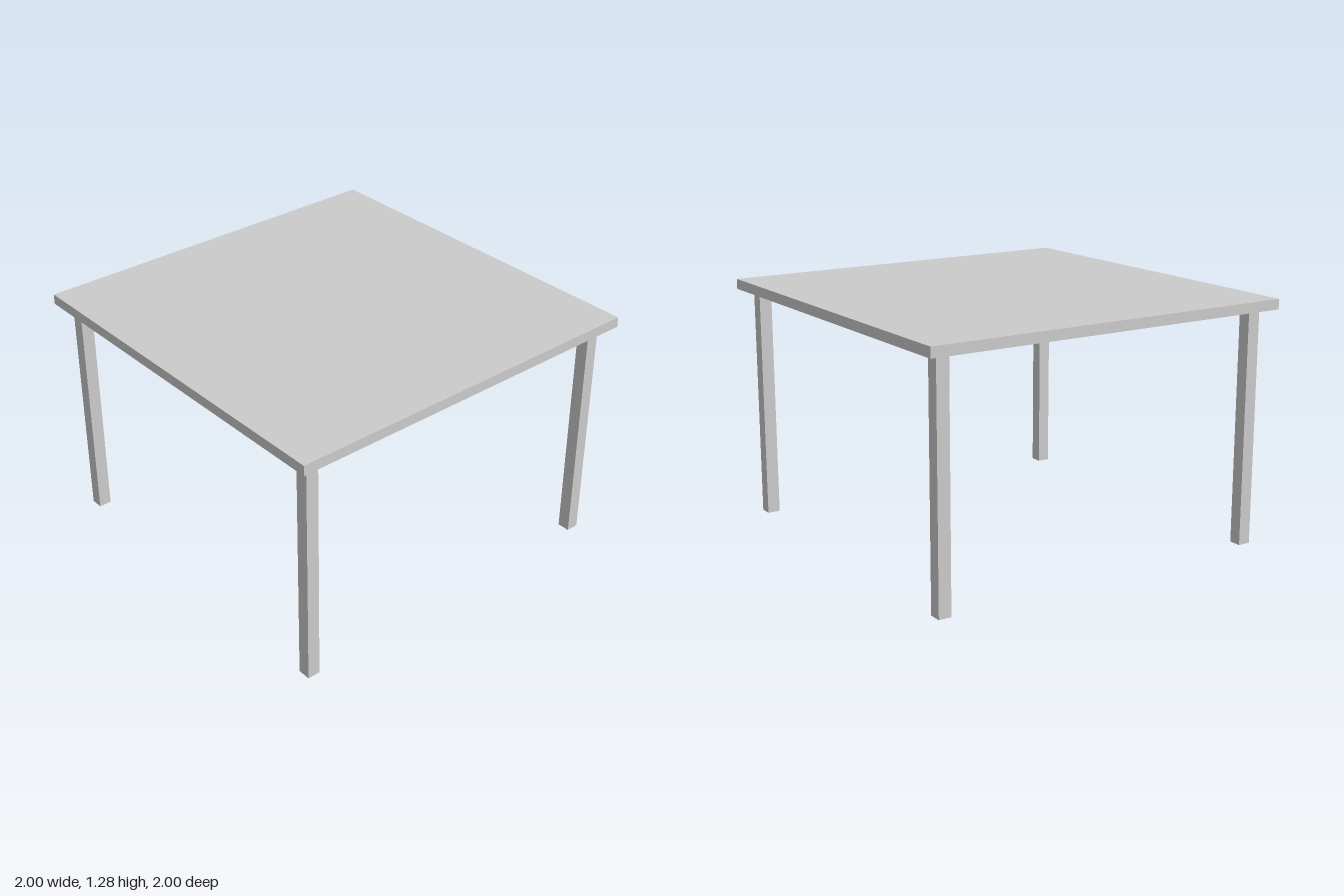
import * as THREE from 'three';

const LEG_HEIGHT = 1.227;
const LEG_WIDTH = 0.067;
const LEG_OFFSET = 0.9;
const TOP_THICKNESS = 0.053;

export function createModel() {
  const table = new THREE.Group();
  table.name = 'table';
  const material = new THREE.MeshStandardMaterial({ color: 0xcccccc });

  // Square slab
  const top = new THREE.Mesh(new THREE.BoxGeometry(2, TOP_THICKNESS, 2), material);
  top.name = 'tableTop';
  top.position.y = LEG_HEIGHT + TOP_THICKNESS / 2;
  table.add(top);

  // Four square legs, set in from the corners
  const legGeometry = new THREE.BoxGeometry(LEG_WIDTH, LEG_HEIGHT, LEG_WIDTH);
  for (const [zName, z] of [['front', 1], ['back', -1]]) {
    for (const [xName, x] of [['Left', 1], ['Right', -1]]) {
      const leg = new THREE.Mesh(legGeometry, material);
      leg.name = `${zName}${xName}Leg`;
      leg.position.set(x * LEG_OFFSET, LEG_HEIGHT / 2, z * LEG_OFFSET);
      table.add(leg);
    }
  }

  return table;
}
